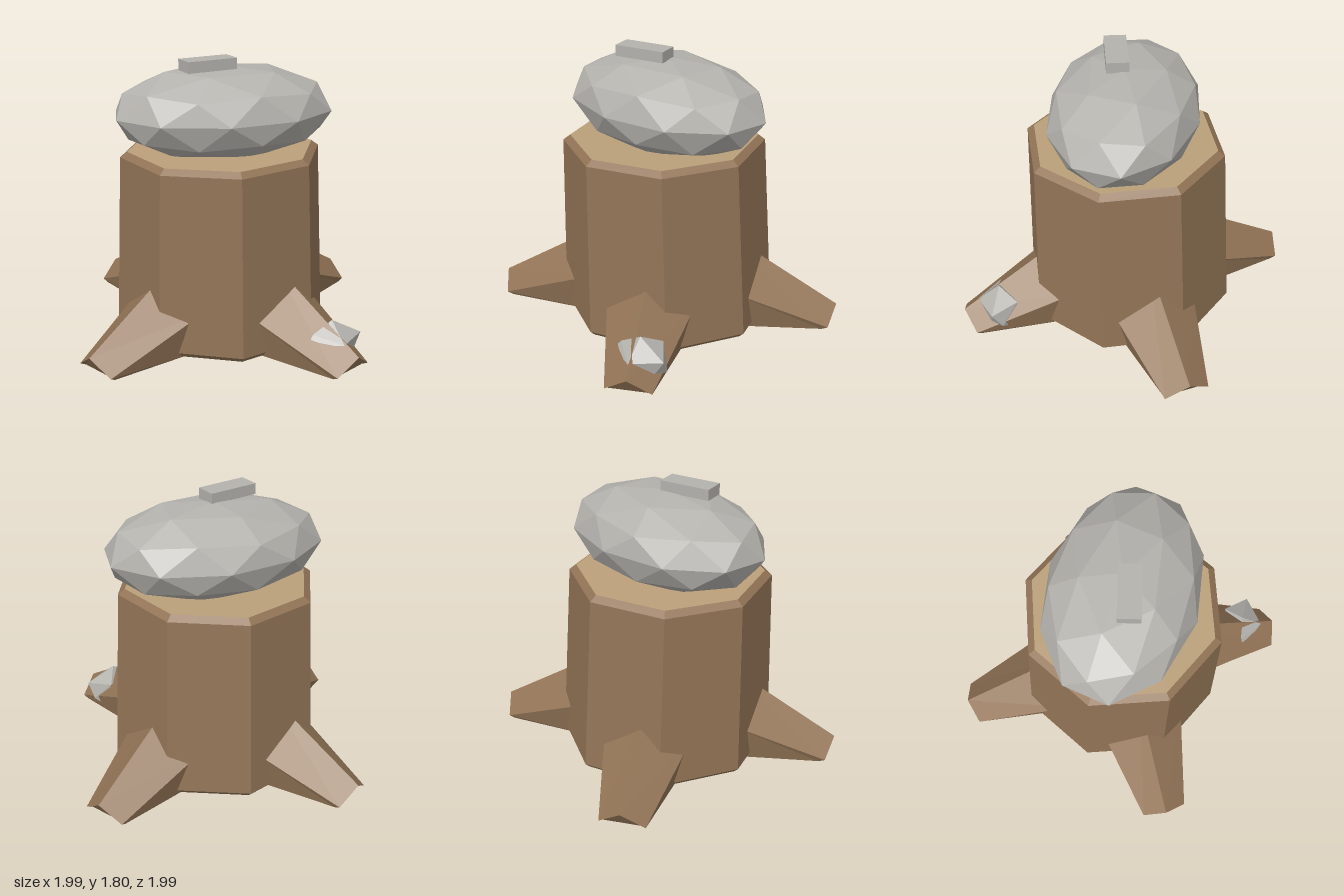
import * as THREE from 'three';
import { ConvexGeometry } from 'three/addons/geometries/ConvexGeometry.js';

const bark = new THREE.MeshStandardMaterial({ name: 'bark', color: 0x927456 });
const wood = new THREE.MeshStandardMaterial({ name: 'cut wood', color: 0xbba07a });
const stone = new THREE.MeshStandardMaterial({ name: 'stone', color: 0xb4b2ad });

// Faceted skin through rings of [x, y, z] points, with optional end caps
function loft(rings, capStart = false, capEnd = false) {
  const pos = [];
  const tri = (...pts) => pts.forEach((p) => pos.push(...p));
  const n = rings[0].length;
  for (let r = 0; r + 1 < rings.length; r++) {
    const lo = rings[r], hi = rings[r + 1];
    for (let i = 0; i < n; i++) {
      const j = (i + 1) % n;
      tri(lo[i], hi[i], lo[j]);
      tri(lo[j], hi[i], hi[j]);
    }
  }
  const first = rings[0], last = rings[rings.length - 1];
  for (let i = 1; i + 1 < n; i++) {
    if (capStart) tri(first[0], first[i], first[i + 1]);
    if (capEnd) tri(last[0], last[i + 1], last[i]);
  }
  const g = new THREE.BufferGeometry();
  g.setAttribute('position', new THREE.Float32BufferAttribute(pos, 3));
  g.computeVertexNormals();
  return g;
}

// Octagon of the trunk; tilt raises the +x side
function octagon(r, y, cx, cz, tilt = 0) {
  return Array.from({ length: 8 }, (_, i) => {
    const a = (i * Math.PI) / 4;
    const x = cx + r * Math.cos(a);
    return [x, y + tilt * x, cz + r * Math.sin(a)];
  });
}

// Pentagonal root section: ridge, two shoulders, flat underside
function rootSection(ridge, shoulder, foot) {
  const [rz, ry] = ridge, [sz, sy, sx] = shoulder, [fz, fy, fx] = foot;
  return [[0, ry, rz], [sx, sy, sz], [fx, fy, fz], [-fx, fy, fz], [-sx, sy, sz]];
}

// Boulder: once-subdivided icosahedron, squashed, sheared and flattened on top
function boulderGeometry() {
  const pts = [];
  const put = (x, v, z) => pts.push(new THREE.Vector3(
    0.715 * x - 0.045 * z, 1.45 + Math.min(0.305 * v, 0.285 + 0.005 * v), 0.48 * z + 0.005));
  const ring = (count, r, v, degrees) => {
    for (let i = 0; i < count; i++) {
      const a = THREE.MathUtils.degToRad(degrees) + (i * Math.PI * 2) / count;
      put(r * Math.cos(a), v, r * Math.sin(a));
    }
  };
  for (const s of [1, -1]) {
    const turn = s > 0 ? 180 : 0;
    put(0, s, 0);
    ring(5, 0.526, s * 0.851, turn);
    ring(5, 0.894, s * 0.447, turn);
    ring(5, 0.851, s * 0.526, turn + 36);
  }
  ring(10, 1, 0, 18);
  return new ConvexGeometry(pts);
}

export function createModel() {
  const model = new THREE.Group();
  model.name = 'boulderOnStump';
  const add = (name, geometry, material) => {
    const mesh = new THREE.Mesh(geometry, material);
    mesh.name = name;
    model.add(mesh);
    return mesh;
  };

  // Trunk with bevelled foot and rim
  const foot = octagon(0.66, 0.005, -0.01, -0.02);
  const rim = octagon(0.6, 1.22, -0.02, 0.01, 0.012);
  add('trunk', loft([
    foot,
    octagon(0.695, 0.04, -0.01, -0.02),
    octagon(0.645, 1.187, -0.02, 0.01, 0.012),
    rim,
  ]), bark);
  add('trunkTop', loft([rim], false, true), wood);
  add('trunkUnderside', loft([foot], true, false), wood);

  // Four roots, a quarter turn apart
  const rootGeometry = loft([
    rootSection([0.45, 0.53], [0.45, 0.3, 0.295], [0.45, 0, 0.225]),
    rootSection([1.14, 0.12], [1.1, 0.02, 0.147], [1.06, 0, 0.14]),
  ], true, true);
  for (let i = 0; i < 4; i++) {
    add('root' + (i + 1), rootGeometry, bark).rotation.y = 0.594 + (i * Math.PI) / 2;
  }

  // Boulder and the flat chip on it
  add('boulder', boulderGeometry(), stone);
  const chip = add('stoneChip', new THREE.BoxGeometry(0.335, 0.07, 0.14), stone);
  chip.position.set(-0.115, 1.765, 0.085);
  chip.rotation.y = 0.3;

  // Small stone resting on the front left root
  const pebble = [
    [0.36, 0.15, 0.8], [0.4, 0.21, 0.77], [0.53, 0.28, 0.73], [0.58, 0.21, 0.59],
    [0.72, 0.18, 0.72], [0.69, 0.08, 0.66], [0.57, 0.17, 0.87], [0.65, 0.05, 0.76],
    [0.63, 0.04, 0.63], [0.5, 0.08, 0.74],
  ].map((p) => new THREE.Vector3(...p));
  add('smallStone', new ConvexGeometry(pebble), stone);

  return model;
}
